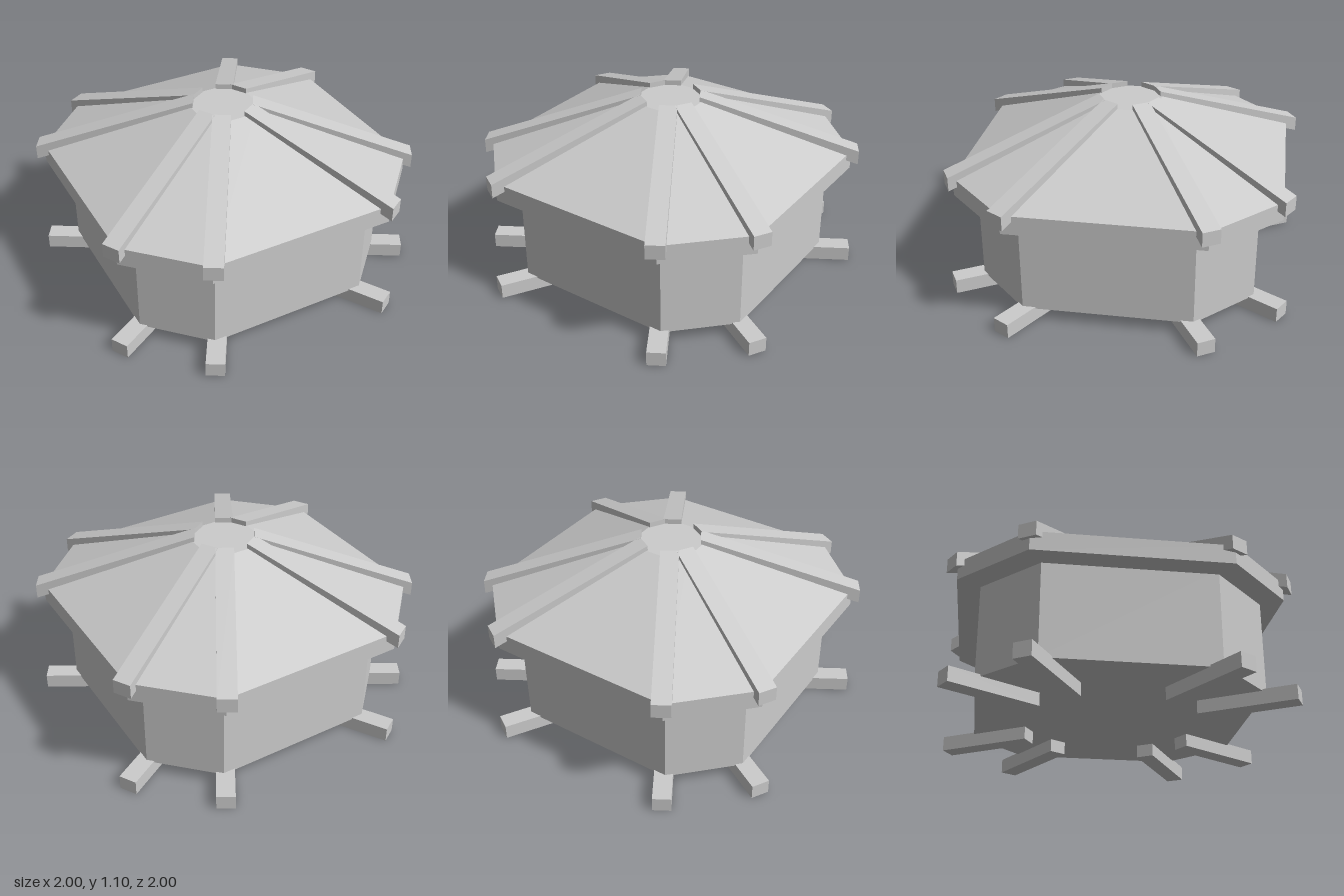
import * as THREE from 'three';

const material = new THREE.MeshStandardMaterial({ color: 0xcccccc, flatShading: true });

// Directions of the eight corners: two per quadrant, wide sides on the axes
const CORNER = 0.533;
const angles = [];
for (let k = 0; k < 4; k++) {
  angles.push(k * Math.PI / 2 + CORNER, (k + 1) * Math.PI / 2 - CORNER);
}

// Octagon ring: half is the distance to the wide sides, corner their half length
function ring(half, corner, y) {
  const pts = [];
  for (let k = 0; k < 4; k++) {
    const c = Math.round(Math.cos(k * Math.PI / 2));
    const s = Math.round(Math.sin(k * Math.PI / 2));
    for (const [x, z] of [[half, corner], [corner, half]]) {
      pts.push([c * x - s * z, y, s * x + c * z]);
    }
  }
  return pts;
}

// Closed solid through a stack of rings, bottom to top
function loft(name, rings) {
  const pos = [];
  const tri = (a, b, c) => pos.push(...a, ...b, ...c);
  const n = rings[0].length;
  const first = rings[0];
  const last = rings[rings.length - 1];
  for (let i = 0; i < n; i++) {
    const j = (i + 1) % n;
    for (let r = 0; r < rings.length - 1; r++) {
      const lo = rings[r], hi = rings[r + 1];
      tri(lo[i], hi[i], lo[j]);
      tri(hi[i], hi[j], lo[j]);
    }
    tri([0, first[0][1], 0], first[i], first[j]);
    tri([0, last[0][1], 0], last[j], last[i]);
  }
  const geo = new THREE.BufferGeometry();
  geo.setAttribute('position', new THREE.Float32BufferAttribute(pos, 3));
  geo.computeVertexNormals();
  const mesh = new THREE.Mesh(geo, material);
  mesh.name = name;
  return mesh;
}

// Eight radial beams with the same side profile of [radius, height] points
function radialBeams(name, profile, width) {
  const shape = new THREE.Shape(profile.map(([r, y]) => new THREE.Vector2(r, y)));
  const geo = new THREE.ExtrudeGeometry(shape, { depth: width, bevelEnabled: false });
  geo.translate(0, 0, -width / 2);
  const group = new THREE.Group();
  group.name = name + 's';
  for (const a of angles) {
    const beam = new THREE.Mesh(geo, material);
    beam.name = name;
    beam.rotation.y = -a;
    group.add(beam);
  }
  return group;
}

export function createModel() {
  const model = new THREE.Group();
  model.name = 'octagonalHut';

  // Walls
  model.add(loft('walls', [ring(0.808, 0.488, 0.078), ring(0.808, 0.488, 0.66)]));

  // Roof with its vertical eave board, and the rafters lying on its ridges
  const top = new THREE.Group();
  top.name = 'roofAssembly';
  top.position.set(-0.004, 0, -0.004);
  top.add(loft('roof', [
    ring(0.934, 0.556, 0.633),
    ring(0.934, 0.556, 0.745),
    ring(0.185, 0.11, 1.067),
  ]));
  top.add(radialBeams('rafter', [
    [0.175, 1.013], [1.124, 0.688], [1.124, 0.773], [0.175, 1.098],
  ], 0.107));
  model.add(top);

  // Foundation beams under the floor
  model.add(radialBeams('footBeam', [
    [0.55, 0], [1.128, 0], [1.128, 0.088], [0.55, 0.088],
  ], 0.107));

  return model;
}
